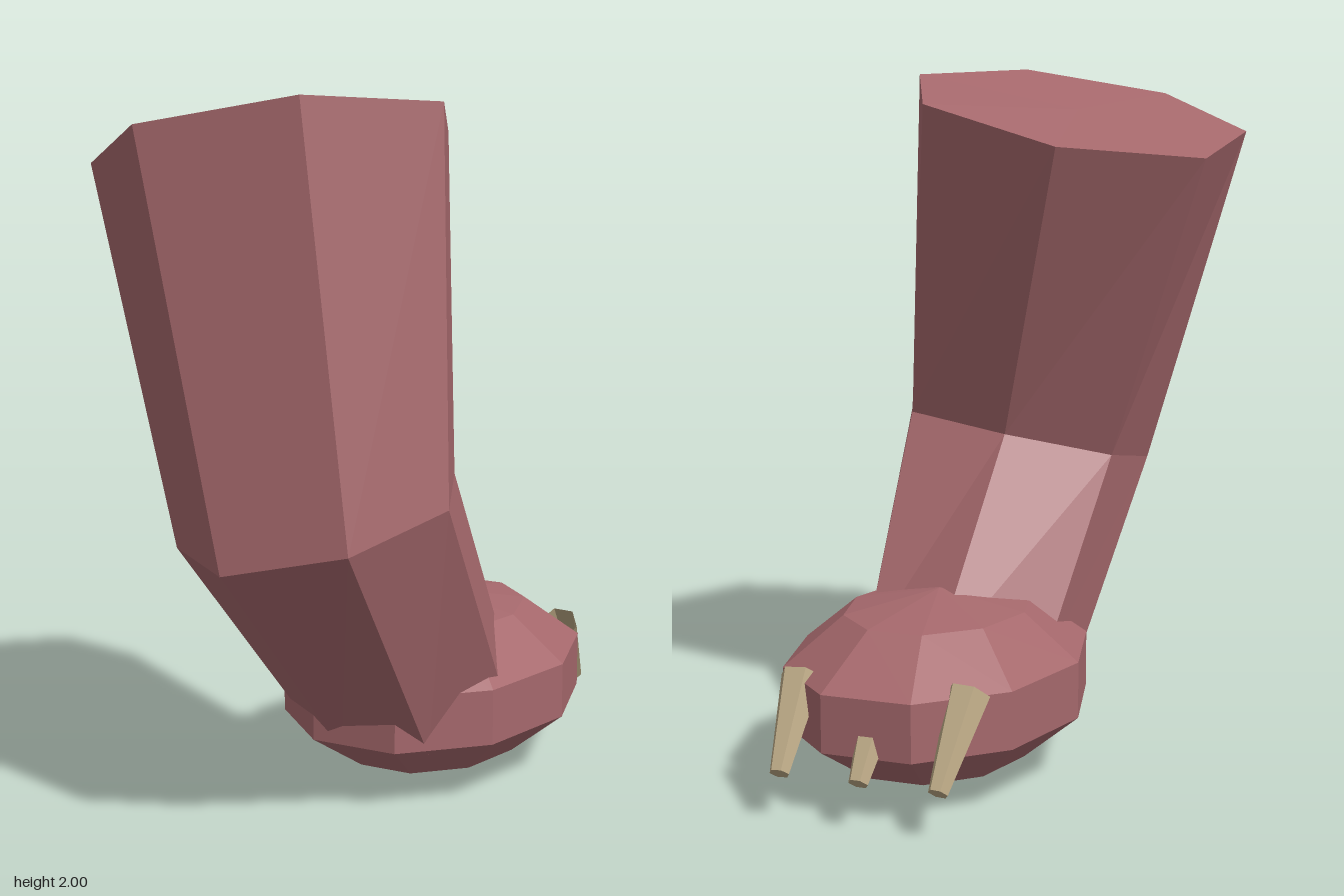
import * as THREE from 'three';

const skin = new THREE.MeshStandardMaterial({ color: 0xa5686c, flatShading: true });
const horn = new THREE.MeshStandardMaterial({ color: 0xb8a582, flatShading: true, side: THREE.DoubleSide });

// Closed faceted body through rings of equal point count, listed bottom to top
function loft(rings) {
  const n = rings[0].length, pos = [];
  const tri = (a, b, c) => pos.push(...a, ...b, ...c);
  const centre = ring => [0, 1, 2].map(k => ring.reduce((s, p) => s + p[k], 0) / n);
  const low = rings[0], high = rings[rings.length - 1];
  const c0 = centre(low), c1 = centre(high);
  for (let i = 0; i < n; i++) {
    const j = (i + 1) % n;
    for (let r = 0; r < rings.length - 1; r++) {
      const a = rings[r], b = rings[r + 1];
      tri(a[i], a[j], b[j]);
      tri(a[i], b[j], b[i]);
    }
    tri(c0, low[j], low[i]);
    tri(c1, high[i], high[j]);
  }
  const geo = new THREE.BufferGeometry();
  geo.setAttribute('position', new THREE.Float32BufferAttribute(pos, 3));
  geo.computeVertexNormals();
  return geo;
}

export function createModel() {
  const model = new THREE.Group();
  model.name = 'clawedLeg';
  const add = (name, geo, mat) => {
    const mesh = new THREE.Mesh(geo, mat);
    mesh.name = name;
    model.add(mesh);
    return mesh;
  };

  // Seven-sided leg: ankle, knee and cut top
  const ankle = [[0.06, 0.13, 0.215], [0.33, 0.16, 0.2], [0.46, 0.25, -0.05], [0.35, 0.33, -0.29],
    [0.1, 0.33, -0.39], [-0.14, 0.27, -0.16], [-0.15, 0.19, 0.1]];
  const knee = [[0.035, 0.785, 0.825], [0.365, 0.855, 0.745], [0.5, 0.932, 0.44], [0.375, 0.965, 0.14],
    [0.05, 0.925, 0.07], [-0.22, 0.845, 0.27], [-0.235, 0.785, 0.61]];
  const top = [[-0.23, 1.925, 0.79], [0.2, 2.0, 0.69], [0.405, 1.98, 0.29], [0.23, 1.89, -0.11],
    [-0.2, 1.775, -0.21], [-0.55, 1.74, 0.07], [-0.56, 1.81, 0.51]];
  add('leg', loft([ankle, knee, top]), skin);

  // Foot: flattened low-poly ball
  const foot = add('foot', new THREE.SphereGeometry(1, 10, 5), skin);
  foot.scale.set(0.4416, 0.261, 0.578);
  foot.position.set(0.14, 0.261, -0.23);

  // Claws: six-sided tapers, open at the root, pointing down and outward
  const profile = [[0, -0.287], [0.028, -0.287], [0.061, 0]].map(p => new THREE.Vector2(...p));
  const clawGeo = new THREE.LatheGeometry(profile, 6, Math.PI / 2);
  [['clawRight', -0.1, 0.05], ['clawMiddle', 0.14, 0], ['clawLeft', 0.39, -0.07]].forEach(([name, x, lean]) => {
    const claw = add(name, clawGeo, horn);
    claw.position.set(x, 0.345, -0.615);
    claw.rotation.set(0.714, 0, lean);
  });

  return model;
}
